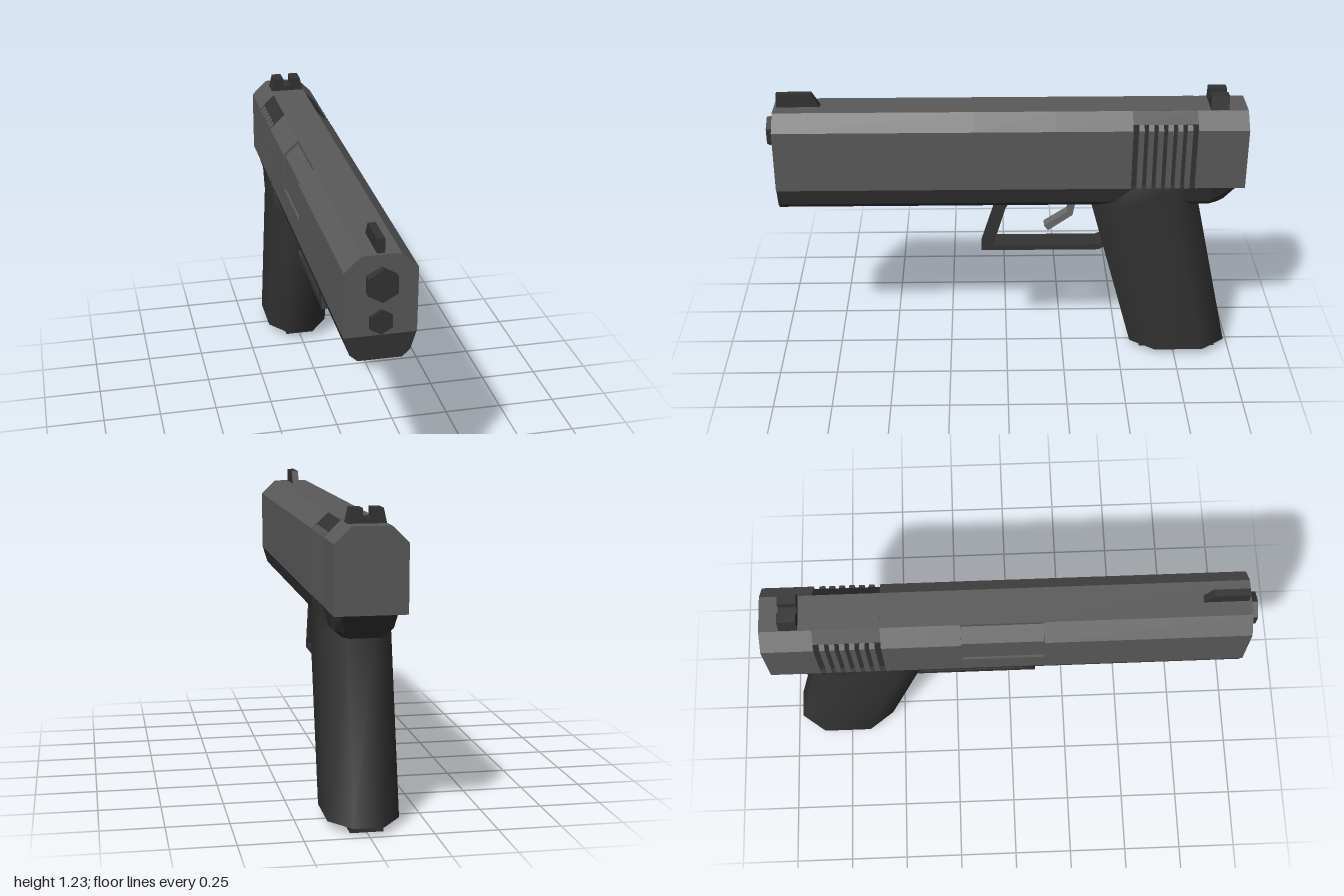
import * as THREE from 'three';

const material = (color, flatShading = true) => new THREE.MeshStandardMaterial({ color, flatShading });
const slideMat = material(0x5a5a5a);
const darkMat = material(0x333333);
const gripMat = material(0x333333, false);
const triggerMat = material(0x6a6a6a);

const toShape = (pts) => new THREE.Shape(pts.map(([a, b]) => new THREE.Vector2(a, b)));

// Outline in (x, y), running from z0 to z1
function extrudeZ(pts, z0, z1, steps = 1) {
  return new THREE.ExtrudeGeometry(toShape(pts), { depth: z1 - z0, steps, bevelEnabled: false }).translate(0, 0, z0);
}

// Outline in (z, y), given a width centred on x
function extrudeX(pts, width, x = 0) {
  return new THREE.ExtrudeGeometry(toShape(pts), { depth: width, bevelEnabled: false })
    .translate(0, 0, -width / 2).rotateY(-Math.PI / 2).translate(x, 0, 0);
}

// Mirrors a half outline (listed bottom to top on +x) into a full one
const mirrored = (half) => [...half, ...half.slice().reverse().map(([x, y]) => [-x, y])];

// Skin through rings of equal point count, with separate flat end caps
function loft(rings) {
  const n = rings[0].length;
  const pos = rings.flat(2);
  const index = [];
  for (let r = 0; r < rings.length - 1; r++) {
    for (let i = 0; i < n; i++) {
      const a = r * n + i, b = r * n + (i + 1) % n;
      index.push(a, a + n, b, b, a + n, b + n);
    }
  }
  [rings[0], rings[rings.length - 1]].forEach((ring, end) => {
    const start = pos.length / 3;
    pos.push(...ring.flat());
    for (let i = 1; i < n - 1; i++) {
      index.push(start, ...(end ? [start + i + 1, start + i] : [start + i, start + i + 1]));
    }
  });
  const g = new THREE.BufferGeometry();
  g.setAttribute('position', new THREE.Float32BufferAttribute(pos, 3));
  g.setIndex(index);
  g.computeVertexNormals();
  return g;
}

export function createModel() {
  const model = new THREE.Group();
  const add = (name, geometry, mat, parent = model) => {
    const mesh = new THREE.Mesh(geometry, mat);
    mesh.name = name;
    parent.add(mesh);
    return mesh;
  };

  // Slide: full sections around the port and the grooved section
  const slide = new THREE.Group();
  slide.name = 'slide';
  model.add(slide);
  const full = mirrored([[0.14, 0.845], [0.14, 1.11], [0.075, 1.173]]);
  add('slideFront', extrudeZ(full, 0.135, 0.967), slideMat, slide);
  add('slideMiddle', extrudeZ(full, -0.52, -0.2), slideMat, slide);
  add('slideRear', extrudeZ(full, -1, -0.79), slideMat, slide);
  const port = [
    [0.14, 0.845], [0.14, 1.11], [0.075, 1.173], [-0.075, 1.173], [-0.075, 1.157],
    [-0.13, 1.103], [-0.13, 0.95], [-0.14, 0.95], [-0.14, 0.845],
  ];
  add('ejectionPort', extrudeZ(port, -0.2, 0.135), slideMat, slide);

  // Narrowed core with gripping ribs
  const core = mirrored([[0.12, 0.845], [0.12, 1.13], [0.075, 1.173]]);
  add('grooveCore', extrudeZ(core, -0.79, -0.52), darkMat, slide);
  for (let i = 0; i < 6; i++) {
    const z = -0.555 - i * 0.04;
    add('slideRib', extrudeZ(full, z - 0.011, z + 0.011), slideMat, slide);
  }
  add('slideTop', extrudeZ(mirrored([[0.075, 1.16], [0.075, 1.1735]]), -0.79, -0.52), slideMat, slide);

  // Frame under the slide, with an undercut, narrowing tail
  const frame = extrudeZ(mirrored([[0.085, 0.742], [0.116, 0.77], [0.14, 0.848]]), -1, 0.965, 14);
  const p = frame.attributes.position;
  for (let i = 0; i < p.count; i++) {
    if (p.getZ(i) < -0.98) {
      p.setZ(i, -0.985 + (0.848 - p.getY(i)) * 0.8);
      p.setX(i, p.getX(i) * 0.75);
    }
  }
  add('frame', frame, darkMat);

  // Raked grip with an eight-sided section
  const gripRing = (y, front, back) => {
    const mid = (front + back) / 2, h = (front - back) / 2;
    return [[0.06, 1], [0.14, 0.5], [0.14, -0.5], [0.06, -1], [-0.06, -1], [-0.14, -0.5], [-0.14, 0.5], [-0.06, 1]]
      .map(([x, s]) => [x, y, mid + s * h]);
  };
  add('grip', loft([
    gripRing(0.03, -0.555, -0.98),
    gripRing(0.742, -0.36, -0.82),
    gripRing(0.847, -0.42, -0.86),
  ].reverse()), gripMat);
  add('magazineBase', extrudeZ(mirrored([[0.065, 0], [0.065, 0.04]]), -0.94, -0.6), darkMat);

  // Trigger and its guard
  add('triggerGuard', extrudeX([
    [0.075, 0.75], [0.045, 0.715], [0.11, 0.507], [-0.4, 0.507], [-0.45, 0.535],
    [-0.45, 0.555], [-0.39, 0.53], [0.06, 0.53], [0.005, 0.715], [-0.015, 0.75],
  ], 0.1, 0.012), darkMat);
  add('trigger', extrudeX([
    [-0.27, 0.75], [-0.262, 0.68], [-0.162, 0.613], [-0.18, 0.59], [-0.285, 0.665], [-0.3, 0.75],
  ], 0.05, 0.012), triggerMat);

  // Six-sided barrel and guide rod
  const hexRod = (r, y, z0, z1) => new THREE.CylinderGeometry(r, r, z1 - z0, 6)
    .rotateX(Math.PI / 2).translate(0, y, (z0 + z1) / 2);
  add('barrel', hexRod(0.066, 1.06, 0.8, 1), darkMat);
  add('guideRod', hexRod(0.05, 0.903, 0.8, 0.98), darkMat);

  // Sights
  add('frontSight', extrudeX([[0.955, 1.165], [0.955, 1.23], [0.81, 1.23], [0.77, 1.165]], 0.03), darkMat);
  add('rearSight', extrudeZ(mirrored([
    [0.075, 1.165], [0.06, 1.23], [0.018, 1.23], [0.018, 1.195],
  ]), -0.92, -0.845), darkMat);

  return model;
}
